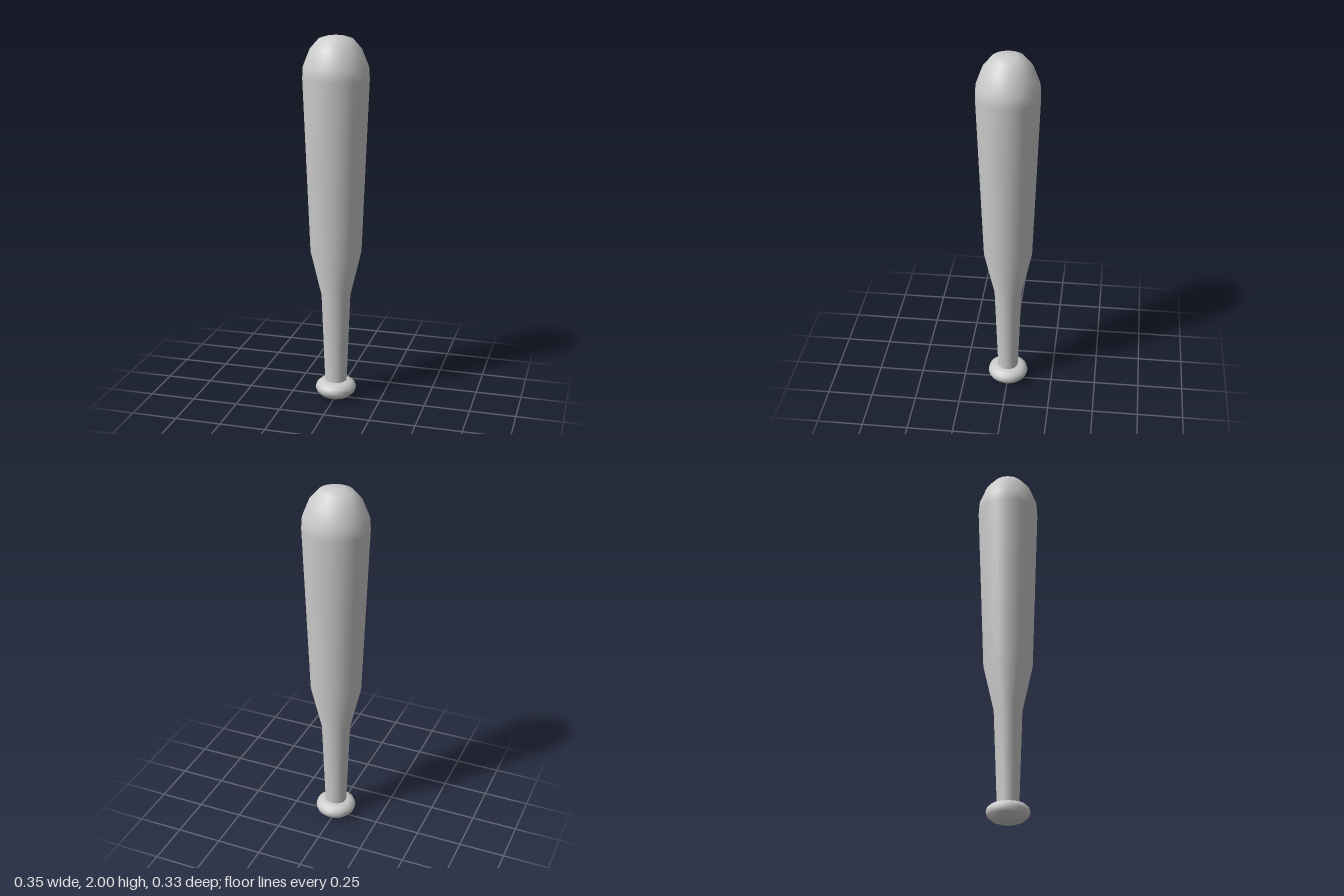
import * as THREE from 'three';

const SEGMENTS = 32;

// Turns a list of [radius, height] pairs into a smooth round part
function turned(name, profile, depthScale, material) {
  const points = profile.map(([r, y]) => new THREE.Vector2(r, y));
  const geometry = new THREE.LatheGeometry(points, SEGMENTS);
  geometry.scale(1, 1, depthScale);
  const mesh = new THREE.Mesh(geometry, material);
  mesh.name = name;
  return mesh;
}

export function createModel() {
  const group = new THREE.Group();
  group.name = 'bat';
  const material = new THREE.MeshStandardMaterial({ color: 0xcccccc });

  // Handle, flared shoulder, barrel and domed end, slightly narrower in depth
  group.add(turned('handleAndBarrel', [
    [0.058, 0.08], [0.06, 0.1], [0.079, 0.6], [0.138, 0.85],
    [0.175, 1.78], [0.171, 1.84], [0.135, 1.93], [0.088, 1.983], [0.045, 1.996], [0, 2],
  ], 0.945, material));

  // Rounded knob at the foot of the handle
  group.add(turned('knob', [
    [0, 0], [0.045, 0.002], [0.083, 0.016], [0.105, 0.037], [0.112, 0.058],
    [0.106, 0.079], [0.088, 0.094], [0.062, 0.102], [0, 0.102],
  ], 1, material));

  return group;
}
